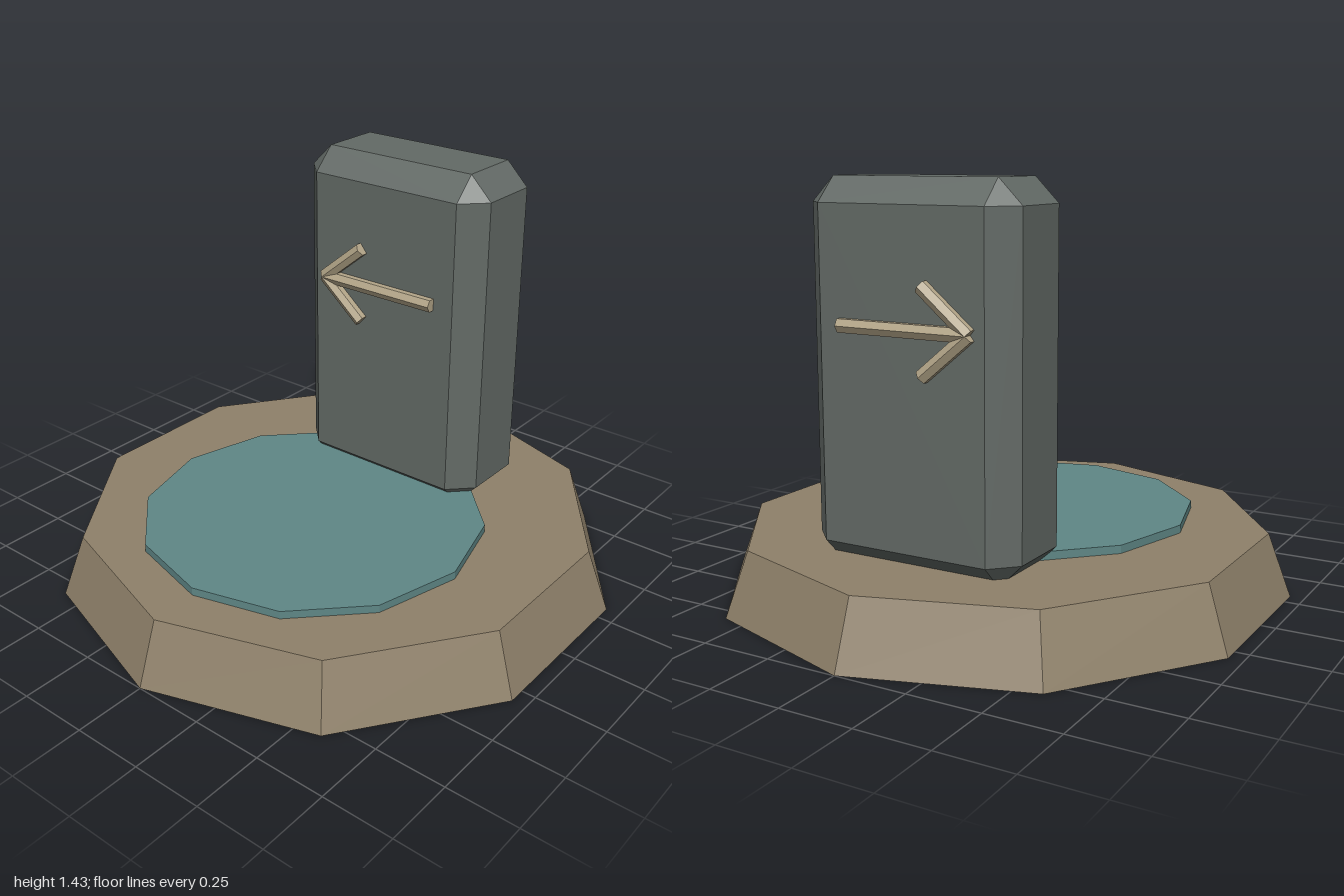
import * as THREE from 'three';
import { ConvexGeometry } from 'three/addons/geometries/ConvexGeometry.js';

const material = (color) => new THREE.MeshStandardMaterial({ color, flatShading: true });
const earth = material(0x8f816a);
const water = material(0x5f8786);
const stone = material(0x636a66);
const wood = material(0xb3a588);

function addMesh(parent, name, geometry, mat, x = 0, y = 0, z = 0) {
  const mesh = new THREE.Mesh(geometry, mat);
  mesh.name = name;
  mesh.position.set(x, y, z);
  parent.add(mesh);
  return mesh;
}

// Box with every edge bevelled: each corner contributes three points
function chamferedBox(w, h, d, c) {
  const points = [];
  for (const sx of [-1, 1]) for (const sy of [-1, 1]) for (const sz of [-1, 1]) {
    for (let full = 0; full < 3; full++) {
      const inset = [0, 1, 2].map((axis) => (axis === full ? 0 : c));
      points.push(new THREE.Vector3(
        sx * (w / 2 - inset[0]), sy * (h / 2 - inset[1]), sz * (d / 2 - inset[2])));
    }
  }
  return new ConvexGeometry(points);
}

// Six-sided stick between two points in the arrow's plane
function addStick(parent, name, x0, y0, x1, y1) {
  const length = Math.hypot(x1 - x0, y1 - y0);
  const stick = addMesh(parent, name, new THREE.CylinderGeometry(0.025, 0.025, length, 6),
    wood, (x0 + x1) / 2, (y0 + y1) / 2);
  stick.rotation.z = Math.atan2(y1 - y0, x1 - x0) - Math.PI / 2;
}

function createArrow(name, z) {
  const arrow = new THREE.Group();
  arrow.name = name;
  addStick(arrow, 'arrowShaft', -0.25, 0, 0.22, 0);
  addStick(arrow, 'arrowBarbUpper', -0.25, 0, -0.085, 0.137);
  addStick(arrow, 'arrowBarbLower', -0.25, 0, -0.085, -0.137);
  arrow.position.set(0, 0.973, z);
  return arrow;
}

export function createModel() {
  const model = new THREE.Group();
  model.name = 'stoneMarker';

  // Ten-sided tapered ground plinth
  addMesh(model, 'plinth', new THREE.CylinderGeometry(0.92, 1, 0.22, 10), earth, 0, 0.11, 0);

  // Shallow twelve-sided pool set towards the front
  addMesh(model, 'pool', new THREE.CylinderGeometry(0.61, 0.61, 0.03, 12), water, 0, 0.233, 0.14);

  // Upright slab, its lower bevel sunk into the plinth
  addMesh(model, 'slab', chamferedBox(0.76, 1.245, 0.39, 0.082), stone, 0, 0.8075, -0.445);

  // Matching arrows on both faces, pointing the same way
  model.add(createArrow('frontArrow', -0.24), createArrow('backArrow', -0.648));

  return model;
}
